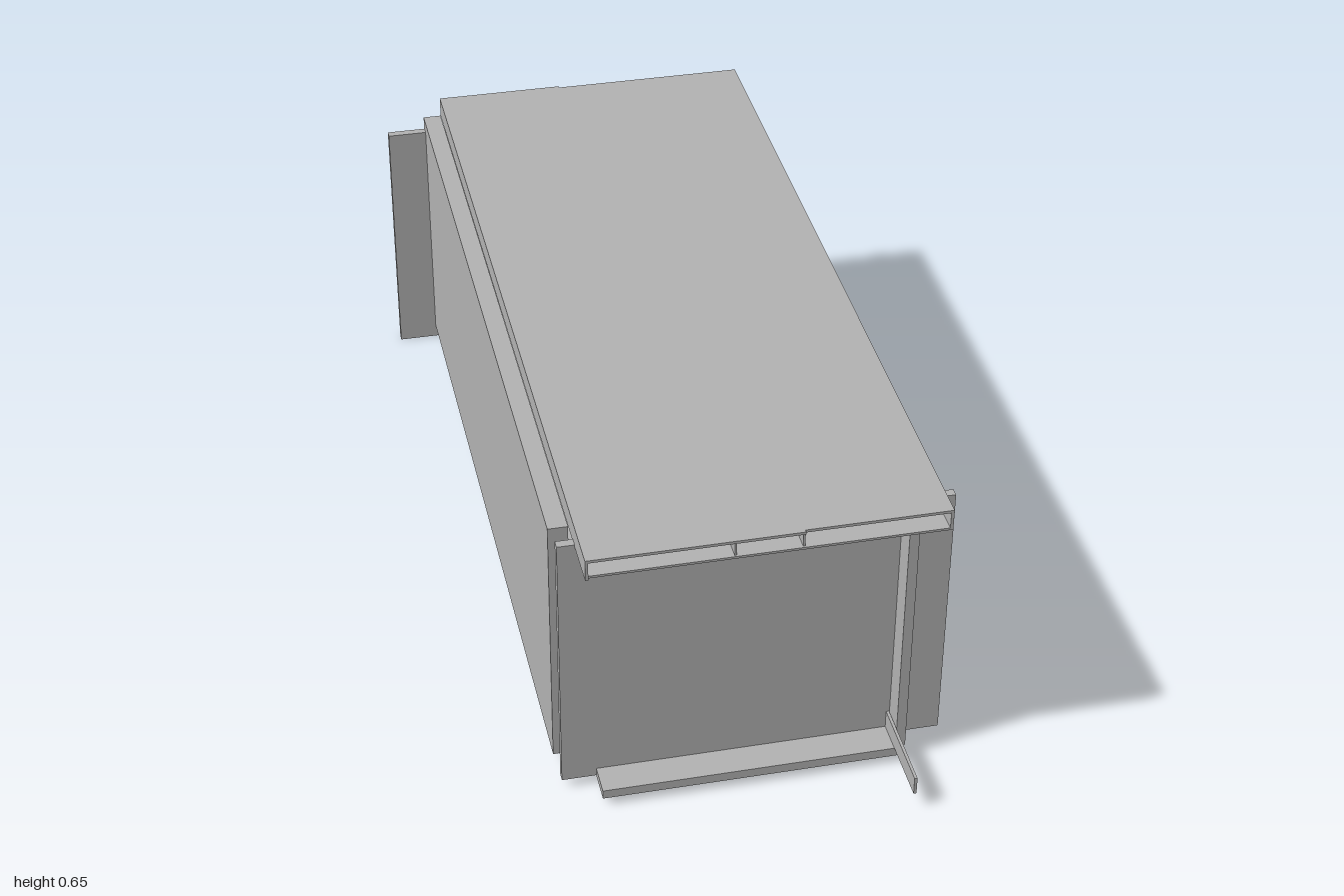
import * as THREE from 'three';

export function createModel() {
  const group = new THREE.Group();
  const grey = new THREE.MeshStandardMaterial({ color: 0xb2b2b2 });
  grey.name = 'plain grey';

  // Box given by its minimum and maximum corners
  function panel(name, [x0, y0, z0], [x1, y1, z1]) {
    const mesh = new THREE.Mesh(new THREE.BoxGeometry(x1 - x0, y1 - y0, z1 - z0), grey);
    mesh.position.set((x0 + x1) / 2, (y0 + y1) / 2, (z0 + z1) / 2);
    mesh.name = name;
    group.add(mesh);
  }

  // Front panel with two tapered tabs along its top edge
  const outline = new THREE.Shape();
  outline.moveTo(-0.345, 0.02);
  outline.lineTo(0.435, 0.02);
  outline.lineTo(0.435, 0.61);
  for (const [left, right] of [[0.123, 0.25], [-0.163, -0.035]]) {
    outline.lineTo(right, 0.61);
    outline.lineTo(right - 0.009, 0.63);
    outline.lineTo(left + 0.009, 0.63);
    outline.lineTo(left, 0.61);
  }
  outline.lineTo(-0.345, 0.61);
  const front = new THREE.Mesh(
    new THREE.ExtrudeGeometry(outline, { depth: 0.018, bevelEnabled: false }), grey);
  front.position.z = 0.78;
  front.name = 'frontPanel';
  group.add(front);

  // Back, side and floor panels, crossing one another at the corners
  panel('backPanel', [-0.437, 0, -0.878], [0.413, 0.575, -0.86]);
  panel('leftSidePanel', [0.33, 0.03, -0.89], [0.35, 0.602, 0.85]);
  panel('rightSidePanel', [-0.35, 0.03, -0.884], [-0.31, 0.602, 0.73]);
  panel('floorPanel', [-0.275, 0.018, -0.988], [0.338, 0.038, 0.865]);

  // Thin runner projecting at both ends
  panel('runner', [0.323, 0.038, -1], [0.329, 0.078, 1]);

  // Hollow lid, open at the front
  const t = 0.006;
  panel('lidTopRight', [-0.31, 0.65 - t, -0.87], [0.11, 0.65, 0.9]);
  panel('lidTopLeft', [0.11, 0.65 - t, -0.87], [0.4, 0.65, 0.894]);
  panel('lidBase', [-0.31, 0.604, -0.87], [0.4, 0.609, 0.894]);
  panel('lidRightWall', [-0.31, 0.604, -0.87], [-0.31 + t, 0.65, 0.9]);
  panel('lidLeftWall', [0.4 - t, 0.604, -0.87], [0.4, 0.65, 0.894]);
  panel('lidBackLeft', [-0.026, 0.604, -0.874], [0.4, 0.65, -0.866]);
  panel('lidBackRight', [-0.31, 0.604, -0.88], [-0.026, 0.65, -0.866]);
  for (const x of [-0.022, 0.11]) {
    panel('lidWeb', [x - 0.002, 0.606, 0.8], [x + 0.002, 0.648, 0.89]);
  }
  return group;
}
